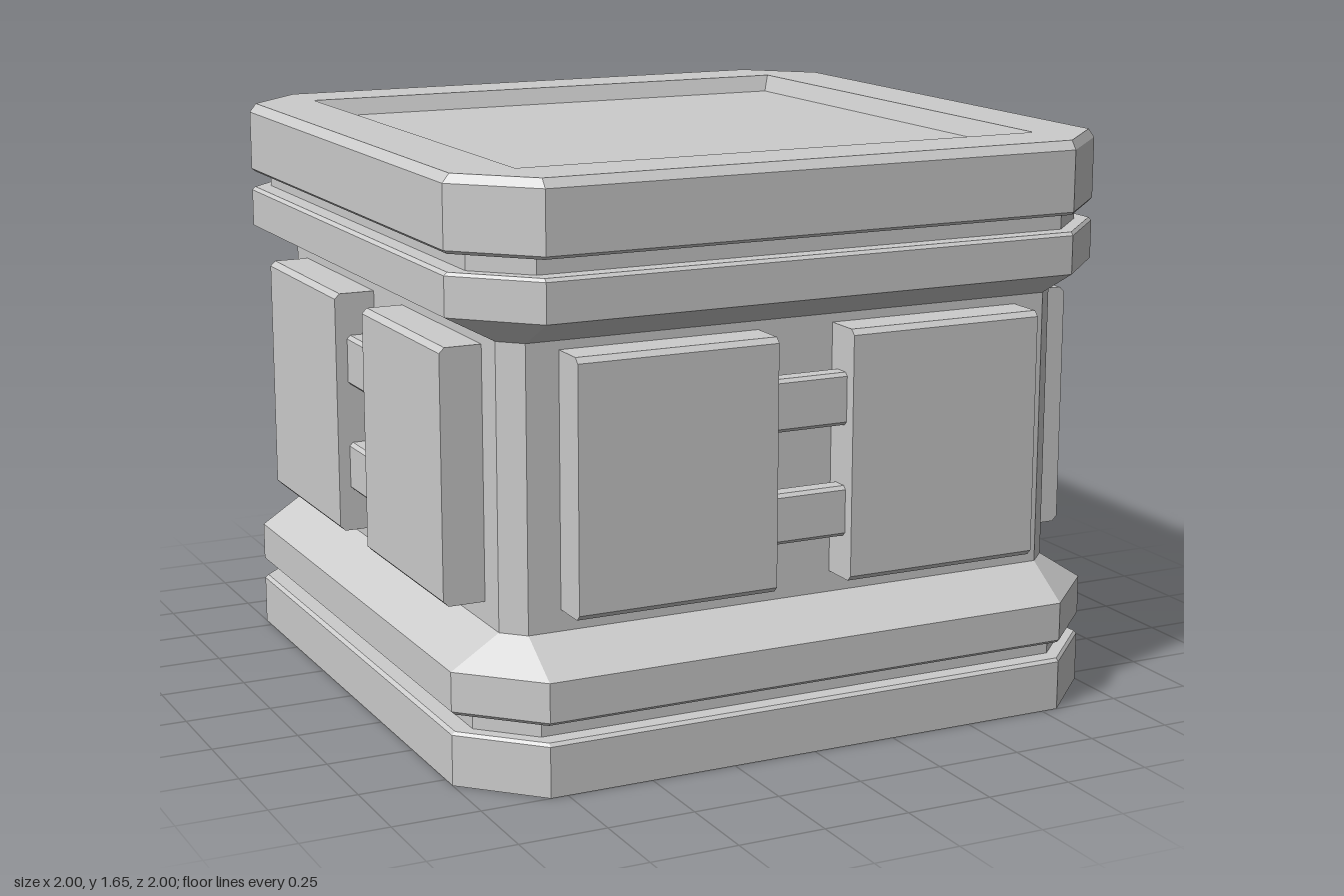
import * as THREE from 'three';

const material = new THREE.MeshStandardMaterial({
  color: 0xcccccc, flatShading: true, side: THREE.DoubleSide,
});

function part(name, geometry) {
  const mesh = new THREE.Mesh(geometry, material);
  mesh.name = name;
  return mesh;
}

// Skin between successive rings of [x, y, z] points; skip(ring, edge) leaves openings
function loft(rings, closed = true, skip = () => false) {
  const pos = [];
  for (let r = 0; r + 1 < rings.length; r++) {
    const lo = rings[r], hi = rings[r + 1], n = lo.length;
    for (let i = 0; i < (closed ? n : n - 1); i++) {
      if (skip(r, i)) continue;
      const j = (i + 1) % n;
      pos.push(...lo[i], ...lo[j], ...hi[j], ...lo[i], ...hi[j], ...hi[i]);
    }
  }
  const g = new THREE.BufferGeometry();
  g.setAttribute('position', new THREE.Float32BufferAttribute(pos, 3));
  g.computeVertexNormals();
  return g;
}

const FLAT = 0.8; // half length of each straight side
const WALL = 0.86; // half width of the waist
const octagon = (w, y) => [
  [-FLAT, y, w], [FLAT, y, w], [w, y, FLAT], [w, y, -FLAT],
  [FLAT, y, -w], [-FLAT, y, -w], [-w, y, -FLAT], [-w, y, FLAT],
];
const square = (w, y) => [[-w, y, w], [w, y, w], [w, y, -w], [-w, y, -w]];
const rectangle = (x0, y0, x1, y1) =>
  [[x0, y0], [x1, y0], [x1, y1], [x0, y1]].map(p => new THREE.Vector2(...p));
const toShape = pts => new THREE.Shape(pts.map(([x, y]) => new THREE.Vector2(x, y)));

// Half width and height of the shell, from the ground up
const TOP = 1.655;
const shellProfile = [
  [1, 0], [1, 0.143], [0.99, 0.152], [0.94, 0.152], [0.94, 0.2], [0.99, 0.2], [1, 0.209],
  [1, 0.32], [WALL, 0.41], [WALL, 1.205], [1, 1.28],
  [1, 1.39], [0.99, 1.399], [0.94, 1.399], [0.94, 1.447], [0.99, 1.447], [1, 1.456],
  [1, 1.63], [0.98, TOP],
];
const WAIST = 8; // profile step whose flat sides are the pierced walls

const PANEL = { x0: 0.115, x1: 0.705, y0: 0.47, y1: 1.18, z: 0.98 };
const panelProfile = [
  [WALL, PANEL.y0], [PANEL.z - 0.015, PANEL.y0], [PANEL.z, PANEL.y0 + 0.015],
  [PANEL.z, PANEL.y1 - 0.015], [PANEL.z - 0.015, PANEL.y1], [WALL, PANEL.y1],
];

// Chamfered bar cross-section in z and y
function barProfile(y0, y1) {
  const z0 = 0.88, z1 = 0.945, c = 0.01;
  return [
    [z0 + c, y0], [z1 - c, y0], [z1, y0 + c], [z1, y1 - c],
    [z1 - c, y1], [z0 + c, y1], [z0, y1 - c], [z0, y0 + c],
  ];
}
const bars = [barProfile(0.592, 0.735), barProfile(0.907, 1.055)];
const along = (profile, x) => profile.map(([z, y]) => [x, y, z]);

// Hollow raised panel, open towards the inside, slotted where the bars enter
function createPanel(name) {
  const panel = new THREE.Group();
  panel.name = name;
  panel.add(part('panelFace',
    loft([along(panelProfile, PANEL.x1), along(panelProfile, PANEL.x0)], false)));
  const slotted = toShape(panelProfile);
  slotted.holes = bars.map(toShape);
  const inner = part('panelInnerSide', new THREE.ShapeGeometry(slotted).rotateY(-Math.PI / 2));
  inner.position.x = PANEL.x0;
  const outer = part('panelOuterSide',
    new THREE.ShapeGeometry(toShape(panelProfile.map(([z, y]) => [-z, y]))).rotateY(Math.PI / 2));
  outer.position.x = PANEL.x1;
  panel.add(inner, outer);
  return panel;
}

// One wall with its two panels and two bars
function createSide(name) {
  const side = new THREE.Group();
  side.name = name;
  const wall = new THREE.Shape(rectangle(-FLAT, 0.41, FLAT, 1.205));
  for (const s of [-1, 1]) {
    wall.holes.push(new THREE.Path(rectangle(s * PANEL.x0, PANEL.y0, s * PANEL.x1, PANEL.y1)));
    const panel = createPanel(s > 0 ? 'leftPanel' : 'rightPanel');
    panel.scale.x = s;
    side.add(panel);
  }
  const wallMesh = part('wall', new THREE.ShapeGeometry(wall));
  wallMesh.position.z = WALL;
  side.add(wallMesh);
  bars.forEach((profile, i) => side.add(part(i ? 'upperBar' : 'lowerBar',
    loft([along(profile, PANEL.x0), along(profile, -PANEL.x0)]))));
  return side;
}

export function createModel() {
  const model = new THREE.Group();
  model.name = 'crate';

  // Hollow octagonal shell, open underneath
  model.add(part('shell', loft(shellProfile.map(([w, y]) => octagon(w, y)), true,
    (r, i) => r === WAIST && i % 2 === 0)));

  // Flat rim around the recessed lid
  const rim = toShape(octagon(0.98, 0).map(([x, , z]) => [x, -z]));
  rim.holes.push(new THREE.Path(rectangle(-0.795, -0.795, 0.795, 0.795)));
  const rimMesh = part('topRim', new THREE.ShapeGeometry(rim).rotateX(-Math.PI / 2));
  rimMesh.position.y = TOP;
  model.add(rimMesh);

  // Sloped recess and its floor
  const floorY = TOP - 0.05;
  model.add(part('recessWall', loft([square(0.795, TOP), square(0.775, floorY)])));
  const floor = part('recessFloor', new THREE.PlaneGeometry(1.55, 1.55).rotateX(-Math.PI / 2));
  floor.position.y = floorY;
  model.add(floor);

  // Four identical sides
  ['frontSide', 'leftSide', 'backSide', 'rightSide'].forEach((name, i) => {
    const side = createSide(name);
    side.rotation.y = i * Math.PI / 2;
    model.add(side);
  });
  return model;
}
